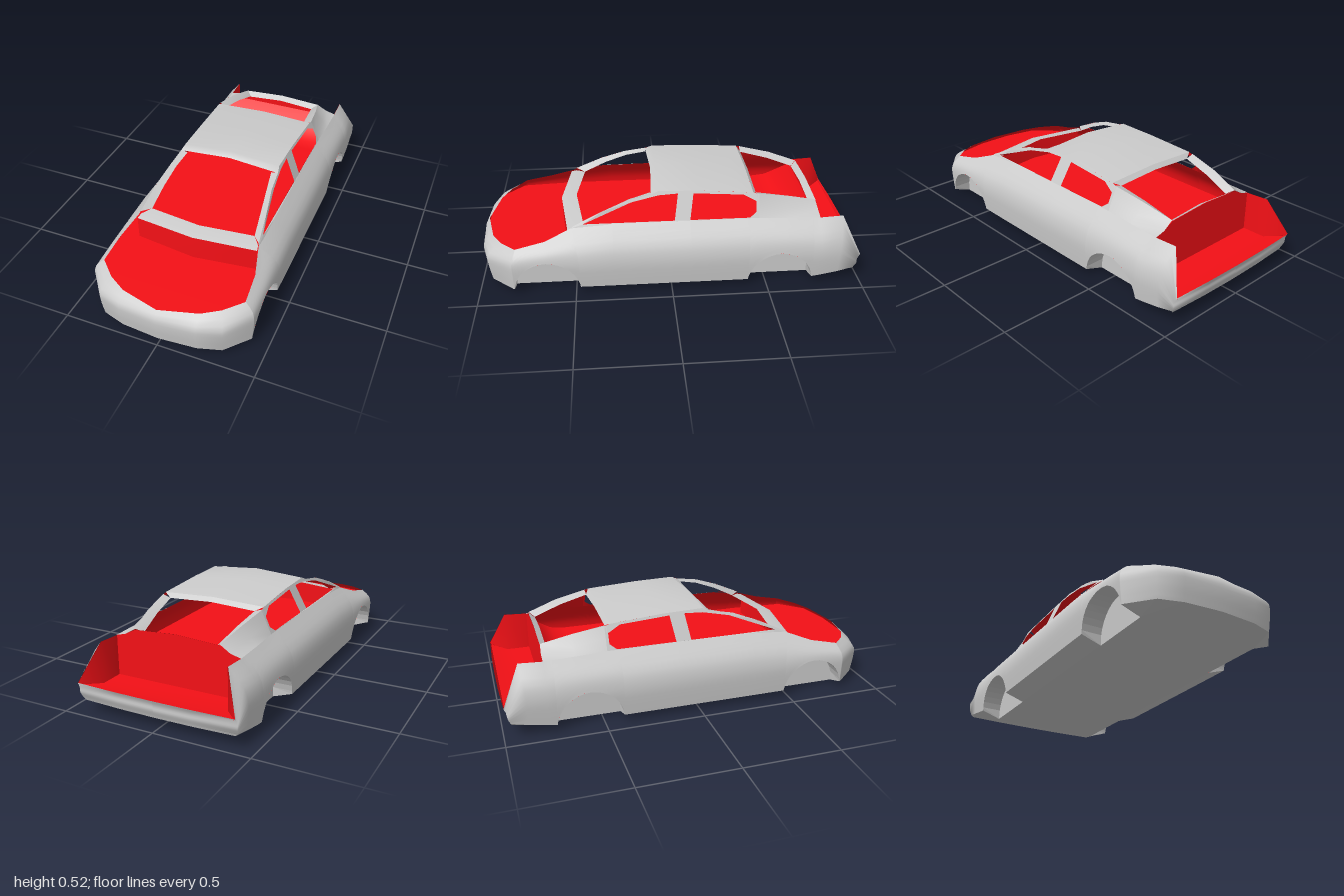
import * as THREE from 'three';

const GREY = new THREE.MeshStandardMaterial({ color: 0xcccccc });
const FLAT = new THREE.MeshStandardMaterial({ color: 0xcccccc, flatShading: true });
const RED = new THREE.MeshStandardMaterial({ color: 0xf41016 });
const RED_THIN = new THREE.MeshStandardMaterial({ color: 0xf41016, side: THREE.DoubleSide });
const { lerp, clamp } = THREE.MathUtils;

// Surface through rows of [x, y, z] points; it faces (along row) x (across rows)
function grid(rows) {
  const n = rows[0].length, index = [];
  for (let j = 0; j + 1 < rows.length; j++) {
    for (let i = 0; i + 1 < n; i++) {
      const a = j * n + i, b = a + n;
      index.push(a, a + 1, b + 1, a, b + 1, b);
    }
  }
  const g = new THREE.BufferGeometry();
  g.setAttribute('position', new THREE.Float32BufferAttribute(rows.flat(2), 3));
  g.setIndex(index);
  g.computeVertexNormals();
  return g;
}

// Same surface with its faces turned round
function flip(g) {
  const out = g.clone(), idx = Array.from(g.index.array);
  for (let i = 0; i < idx.length; i += 3) [idx[i], idx[i + 1]] = [idx[i + 1], idx[i]];
  out.setIndex(idx);
  out.computeVertexNormals();
  return out;
}

function mirror(g) {
  const out = g.clone(), p = out.attributes.position;
  for (let i = 0; i < p.count; i++) p.setX(i, -p.getX(i));
  return flip(out);
}

// Inner skin lying just behind an outer panel
function lining(g) {
  const out = flip(g), p = out.attributes.position, n = out.attributes.normal;
  for (let i = 0; i < p.count; i++) {
    p.setXYZ(i, p.getX(i) + n.getX(i) * 0.0015, p.getY(i) + n.getY(i) * 0.0015, p.getZ(i) + n.getZ(i) * 0.0015);
  }
  return out;
}

// Body plan from nose to tail: waist x, waist z, top edge x, y, z
const STATIONS = [
  [0, 1, 0, 0.22, 0.975], [0.2, 0.985, 0.2, 0.231, 0.93], [0.32, 0.95, 0.29, 0.24, 0.88],
  [0.425, 0.82, 0.375, 0.25, 0.8], [0.43, 0.645, 0.365, 0.283, 0.65], [0.432, 0.475, 0.328, 0.335, 0.51],
  [0.433, 0.3, 0.335, 0.355, 0.3], [0.433, -0.1, 0.335, 0.355, -0.1], [0.433, -0.46, 0.335, 0.355, -0.46],
  [0.433, -0.62, 0.34, 0.35, -0.62], [0.432, -0.78, 0.34, 0.345, -0.78], [0.43, -0.88, 0.34, 0.352, -0.9],
  [0.424, -0.975, 0.421, 0.16, -0.99], [0.2, -0.985, 0.2, 0.16, -0.998], [0, -0.988, 0, 0.16, -1],
];
const ARCHES = [0.645, -0.57], ARCH_R = 0.17, ARCH_Y = 0.02, WELL_X = 0.32, ARCH_STEPS = 16;

function stationAt(z) {
  const i = STATIONS.findIndex((s, k) => k > 0 && s[1] <= z);
  const a = STATIONS[i - 1], b = STATIONS[i], t = (z - a[1]) / (b[1] - a[1]);
  return a.map((v, k) => lerp(v, b[k], t));
}

// One upright column of the body side, cut off below by the wheel arch
function column([wx, wz, bx, by, bz], arch) {
  const tail = clamp((-0.75 - wz) / 0.225, 0, 1), sill = 0.035 + 0.04 * tail;
  const wy = Math.min(0.18, by * 0.8), end = Math.abs(wz) > 0.9 ? 0.987 : 1;
  const pts = new THREE.CatmullRomCurve3([
    [wx * 0.982, sill, wz * end], [wx * 0.998, lerp(sill, wy, 0.6), wz], [wx, wy, wz],
    [lerp(wx, bx, 0.2), lerp(wy, by, 0.45), lerp(wz, bz, 0.3)], [bx, by, bz],
  ].map((p) => new THREE.Vector3(...p))).getPoints(40);
  const cut = arch === undefined ? 0 : ARCH_Y + Math.sqrt(Math.max(0, ARCH_R ** 2 - (wz - arch) ** 2));
  const open = cut > sill + 0.005;
  const y0 = open ? cut : sill, skin = [];
  for (let j = 0; j <= 10; j++) {
    const y = lerp(y0, by, j / 10);
    let k = pts.findIndex((p) => p.y >= y - 1e-6);
    if (k < 1) k = k < 0 ? 40 : 1;
    const p = pts[k - 1].clone().lerp(pts[k], clamp((y - pts[k - 1].y) / (pts[k].y - pts[k - 1].y), 0, 1));
    skin.push(p.toArray());
  }
  const floor = [Math.min(wx, lerp(WELL_X, 0.405, tail)), 0.062 * tail, Math.min(wz, 0.82) + 0.018 * tail];
  return { z: wz, arch, skin, floor, edge: open ? [WELL_X, cut, wz] : floor };
}

// Side window plane leans inward with height and tucks in at the windscreen base
const sideX = (y, z = 0) => 0.335 - (y - 0.355) * 0.45 - clamp((z - 0.4) * 0.15, 0, 0.015);

function sidePanel() {
  const path = (pts) => pts.map(([z, y]) => new THREE.Vector2(-z, y));
  const shape = new THREE.Shape(path([
    [0.51, 0.335], [0.44, 0.343], [0.3, 0.353], [-0.46, 0.353], [-0.46, 0.468], [-0.43, 0.476], [-0.15, 0.495],
    [0.06, 0.5], [0.1, 0.484], [0.22, 0.463], [0.35, 0.415], [0.5, 0.345],
  ]));
  shape.holes.push(
    new THREE.Path(path([[0.45, 0.355], [0.2, 0.452], [0.06, 0.48], [-0.04, 0.485], [-0.02, 0.358]])),
    new THREE.Path(path([[-0.1, 0.358], [-0.12, 0.483], [-0.38, 0.468], [-0.445, 0.435], [-0.445, 0.385], [-0.41, 0.358]])),
  );
  const g = new THREE.ShapeGeometry(shape), p = g.attributes.position;
  for (let i = 0; i < p.count; i++) p.setXYZ(i, sideX(p.getY(i), -p.getX(i)), p.getY(i), -p.getX(i));
  g.computeVertexNormals();
  return g;
}

export function createModel() {
  const car = new THREE.Group();
  car.name = 'carBody';
  const add = (name, g, mat) => {
    const m = new THREE.Mesh(g, mat);
    m.name = name;
    car.add(m);
  };
  const panel = (name, g, mat = GREY) => {
    add(name, g, mat);
    add(name + 'Lining', lining(g), RED);
  };
  const pair = (name, g, mat) => {
    panel(name + 'Left', g, mat);
    panel(name + 'Right', mirror(g), mat);
  };

  // Body side columns, with extra ones round the wheel arches
  const cols = STATIONS.filter((s) => ARCHES.every((c) => Math.abs(s[1] - c) > ARCH_R + 1e-4)).map((s) => column(s));
  for (const c of ARCHES) {
    for (let i = 0; i <= ARCH_STEPS; i++) {
      cols.push(column(stationAt(c + ARCH_R * Math.cos((Math.PI * i) / ARCH_STEPS)), c));
    }
  }
  cols.sort((a, b) => b.z - a.z);
  const flipX = ([x, y, z]) => [-x, y, z];
  const around = (pick) => [...cols.slice(1).reverse().map((c) => flipX(pick(c))), ...cols.map(pick)];

  panel('bodySides', grid(Array.from({ length: 11 }, (_, j) => around((c) => c.skin[j]))));
  panel('sillsAndWheelWells', grid([around((c) => c.edge), around((c) => c.skin[0])]), FLAT);
  panel('floor', grid([...cols].reverse().map((c) => [flipX(c.floor), c.floor])), FLAT);
  for (const c of ARCHES) {
    const well = cols.filter((k) => k.arch === c);
    pair(c > 0 ? 'frontWellWall' : 'rearWellWall', grid([well.map((k) => k.floor), well.map((k) => k.edge)]), FLAT);
  }

  // Cabin: window sides, roof, pillars and rear quarters
  pair('windowSide', sidePanel(), FLAT);
  const ridge = (x, ySide, yMid, zSide, zMid = zSide) => [[-x, ySide, zSide], [0, yMid, zMid], [x, ySide, zSide]];
  panel('roof', grid([
    [0.1, 0.494, 0.482, 0.085], [0.06, 0.52, 0.5, 0.06], [-0.15, 0.514, 0.495, -0.15],
    [-0.36, 0.498, 0.481, -0.36], [-0.43, 0.488, 0.476, -0.43],
  ].map(([z, mid, side, zMid]) => ridge(sideX(side), side, mid, z, zMid))));
  panel('rearGlassHeader', grid([ridge(0.281, 0.476, 0.488, -0.43), ridge(0.24, 0.455, 0.467, -0.45)]));
  pair('windscreenPillar', grid([
    [[0.284, 0.339, 0.45], [sideX(0.345, 0.5), 0.345, 0.5]],
    [[0.272, 0.403, 0.33], [sideX(0.415), 0.415, 0.35]],
    [[0.257, 0.452, 0.21], [sideX(0.463), 0.463, 0.22]],
    [[0.24, 0.478, 0.1], [sideX(0.484), 0.484, 0.1]],
  ]));
  panel('cowl', grid([
    ridge(0.328, 0.322, 0.332, 0.53, 0.572),
    ridge(0.322, 0.331, 0.34, 0.5, 0.54),
    ridge(0.284, 0.339, 0.348, 0.45, 0.49),
  ]));
  const quarterTop = [[0.284, 0.47, -0.45], [0.262, 0.438, -0.62], [0.23, 0.392, -0.775]];
  const glassEdge = [[0.24, 0.455, -0.448], [0.222, 0.42, -0.6], [0.2, 0.372, -0.745]];
  pair('rearPillar', grid(glassEdge.map((p, i) => [p, quarterTop[i]])));
  pair('rearQuarter', grid([
    [[0.335, 0.353, -0.455], [0.34, 0.349, -0.62], [0.34, 0.345, -0.78]],
    [[0.31, 0.41, -0.455], [0.305, 0.385, -0.62], [0.285, 0.36, -0.78]],
    quarterTop,
  ]));
  panel('rearDeckLip', grid([ridge(0.2, 0.37, 0.385, -0.745), ridge(0.23, 0.39, 0.404, -0.777)]));

  // Inner floors and walls of the engine bay, cabin and boot
  const tray = (rows) => grid(rows.map(([x, y, z]) => [[-x, y, z], [x, y, z]]));
  add('frontBulkhead', grid([ridge(0.328, 0.2, 0.2, 0.53, 0.57), ridge(0.328, 0.321, 0.331, 0.53, 0.57)]), RED_THIN);
  add('engineTray', tray([[0.1, 0.2, 0.975], [0.28, 0.2, 0.94], [0.4, 0.2, 0.82], [0.42, 0.2, 0.53]]), RED_THIN);
  add('cabinFloor', tray([
    [0.42, 0.2, 0.53], [0.42, 0.2, -0.56], [0.41, 0.215, -0.64], [0.38, 0.265, -0.71], [0.3, 0.34, -0.76],
  ]), RED_THIN);
  add('bootWall', grid([
    [-0.34, -0.285, -0.23, 0, 0.23, 0.285, 0.34].map((x) => [x, 0.13, -0.778]),
    [[-0.34, 0.345], [-0.285, 0.36], [-0.23, 0.388], [0, 0.402], [0.23, 0.388], [0.285, 0.36], [0.34, 0.345]]
      .map(([x, y]) => [x, y, -0.778]),
  ]), RED_THIN);
  add('bootFloor', tray([[0.338, 0.14, -0.778], [0.338, 0.14, -0.9], [0.415, 0.15, -0.985]]), RED_THIN);
  for (const s of [-1, 1]) {
    add(s > 0 ? 'bootSideLeft' : 'bootSideRight', grid([
      [[s * 0.338, 0.14, -0.778], [s * 0.338, 0.14, -0.9], [s * 0.415, 0.15, -0.983]],
      [[s * 0.338, 0.344, -0.778], [s * 0.338, 0.35, -0.9], [s * 0.418, 0.16, -0.987]],
    ]), RED_THIN);
  }
  return car;
}
